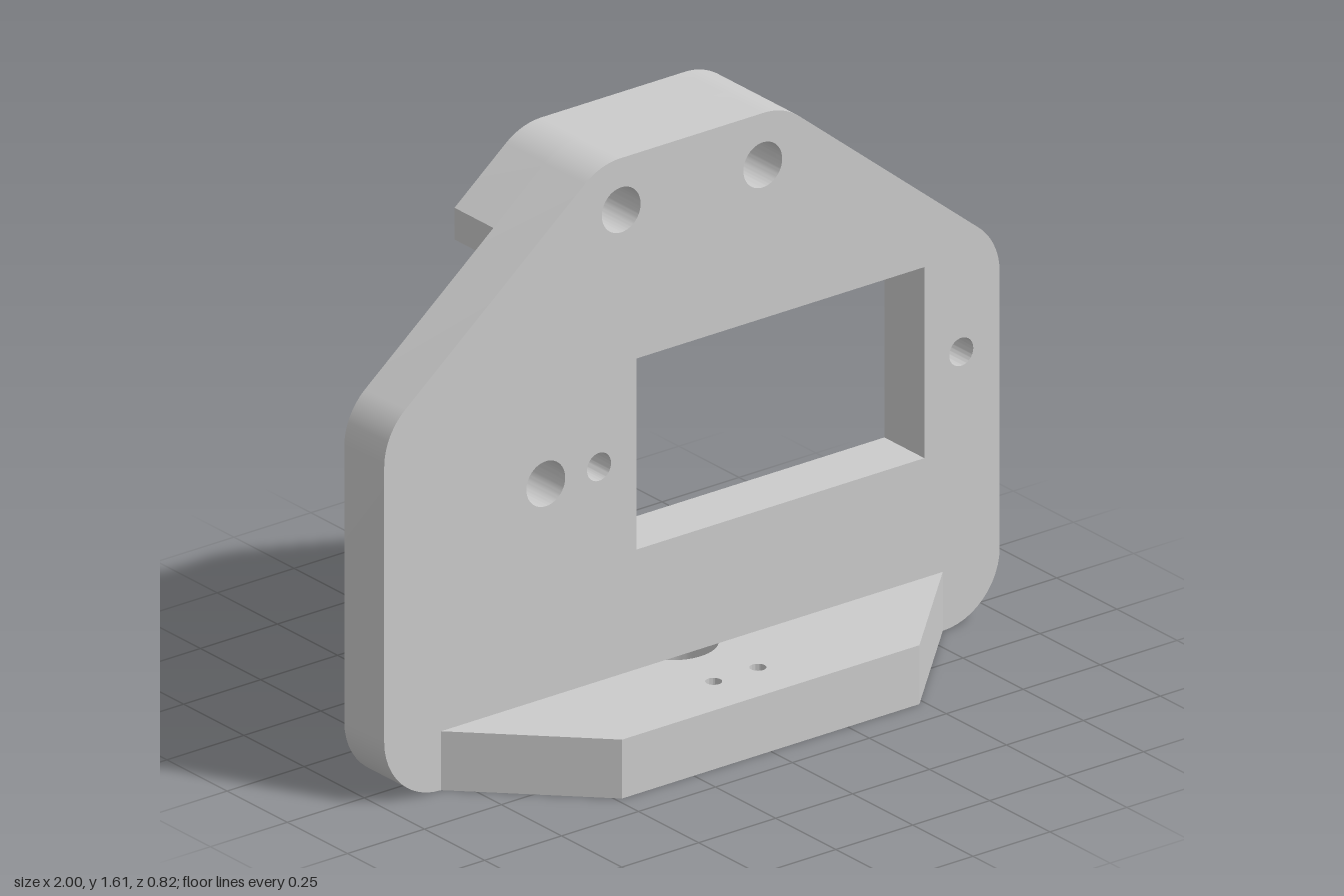
import * as THREE from 'three';
import { toCreasedNormals } from 'three/addons/utils/BufferGeometryUtils.js';

const BASE_H = 0.165, PLATE_Z = 0.083, LUG_Z = -0.245, FILLET = 0.185;

// Closed shape from [x, y, filletRadius] corners
function filletedShape(corners) {
  const points = [];
  corners.forEach(([x, y, r = 0], i) => {
    const p = new THREE.Vector2(x, y);
    if (!r) return points.push(p);
    const n = corners.length;
    const a = new THREE.Vector2(...corners[(i + n - 1) % n].slice(0, 2)).sub(p).normalize();
    const b = new THREE.Vector2(...corners[(i + 1) % n].slice(0, 2)).sub(p).normalize();
    const half = Math.acos(a.dot(b)) / 2;
    const centre = a.clone().add(b).normalize().multiplyScalar(r / Math.sin(half)).add(p);
    const start = a.clone().multiplyScalar(r / Math.tan(half)).add(p);
    const turn = Math.PI - 2 * half;
    const steps = 12;
    for (let s = 0; s <= steps; s++) {
      points.push(start.clone().rotateAround(centre, (turn * s) / steps));
    }
  });
  return new THREE.Shape(points);
}

function circle(x, y, r) {
  return new THREE.Path().absarc(x, y, r, 0, Math.PI * 2, true);
}

function extrude(name, shape, depth, material) {
  const geometry = new THREE.ExtrudeGeometry(shape, { depth, bevelEnabled: false, curveSegments: 40 });
  const mesh = new THREE.Mesh(toCreasedNormals(geometry, 0.5), material);
  mesh.name = name;
  return mesh;
}

export function createModel() {
  const group = new THREE.Group();
  group.name = 'mountingBracket';
  const material = new THREE.MeshStandardMaterial({ color: 0xcccccc });

  const lugHoles = () => [circle(-0.23, 1.465, 0.063), circle(0.23, 1.465, 0.063)];
  const bossHole = () => circle(-0.475, 0.765, 0.063);

  // Upright plate, notched at the bottom where the base passes through
  const plate = filletedShape([
    [0.815, 0], [1, 0, FILLET - 0.0005], [1, 1.042, FILLET], [0.298, 1.61, FILLET],
    [-0.298, 1.61, FILLET], [-1, 1.042, FILLET], [-1, 0, FILLET - 0.0005], [-0.815, 0],
    [-0.815, BASE_H], [0.815, BASE_H],
  ]);
  const servoWindow = new THREE.Path([
    new THREE.Vector2(-0.18, 0.5), new THREE.Vector2(-0.18, 1.035),
    new THREE.Vector2(0.755, 1.035), new THREE.Vector2(0.755, 0.5),
  ]);
  plate.holes.push(servoWindow, ...lugHoles(), bossHole(),
    circle(-0.302, 0.765, 0.039), circle(0.875, 0.765, 0.039));
  const plateMesh = extrude('uprightPlate', plate, PLATE_Z * 2, material);
  plateMesh.position.z = -PLATE_Z;
  group.add(plateMesh);

  // Thickened top lug on the back
  const lug = filletedShape([
    [-0.515, 1.345], [0.515, 1.345], [0.515, 1.434], [0.298, 1.61, FILLET],
    [-0.298, 1.61, FILLET], [-0.515, 1.434],
  ]);
  lug.holes.push(...lugHoles());
  const lugMesh = extrude('topLug', lug, -PLATE_Z - LUG_Z, material);
  lugMesh.position.z = LUG_Z;
  group.add(lugMesh);

  // Round boss on the back
  const boss = new THREE.Shape().absarc(-0.475, 0.765, 0.125, 0, Math.PI * 2, false);
  boss.holes.push(bossHole());
  const bossMesh = extrude('pivotBoss', boss, -PLATE_Z - LUG_Z, material);
  bossMesh.position.z = LUG_Z;
  group.add(bossMesh);

  // Horizontal base with chamfered corners; shape y becomes -z
  const base = filletedShape([
    [-0.483, -0.41], [0.483, -0.41], [0.815, -PLATE_Z], [0.815, PLATE_Z],
    [0.483, 0.41], [-0.483, 0.41], [-0.815, PLATE_Z], [-0.815, -PLATE_Z],
  ]);
  base.holes.push(circle(0, 0, 0.12));
  for (const side of [-1, 1]) {
    base.holes.push(circle(side * 0.072, -0.265, 0.022), circle(side * 0.072, 0.295, 0.033));
  }
  const baseMesh = extrude('base', base, BASE_H, material);
  baseMesh.rotation.x = -Math.PI / 2;
  group.add(baseMesh);

  return group;
}
